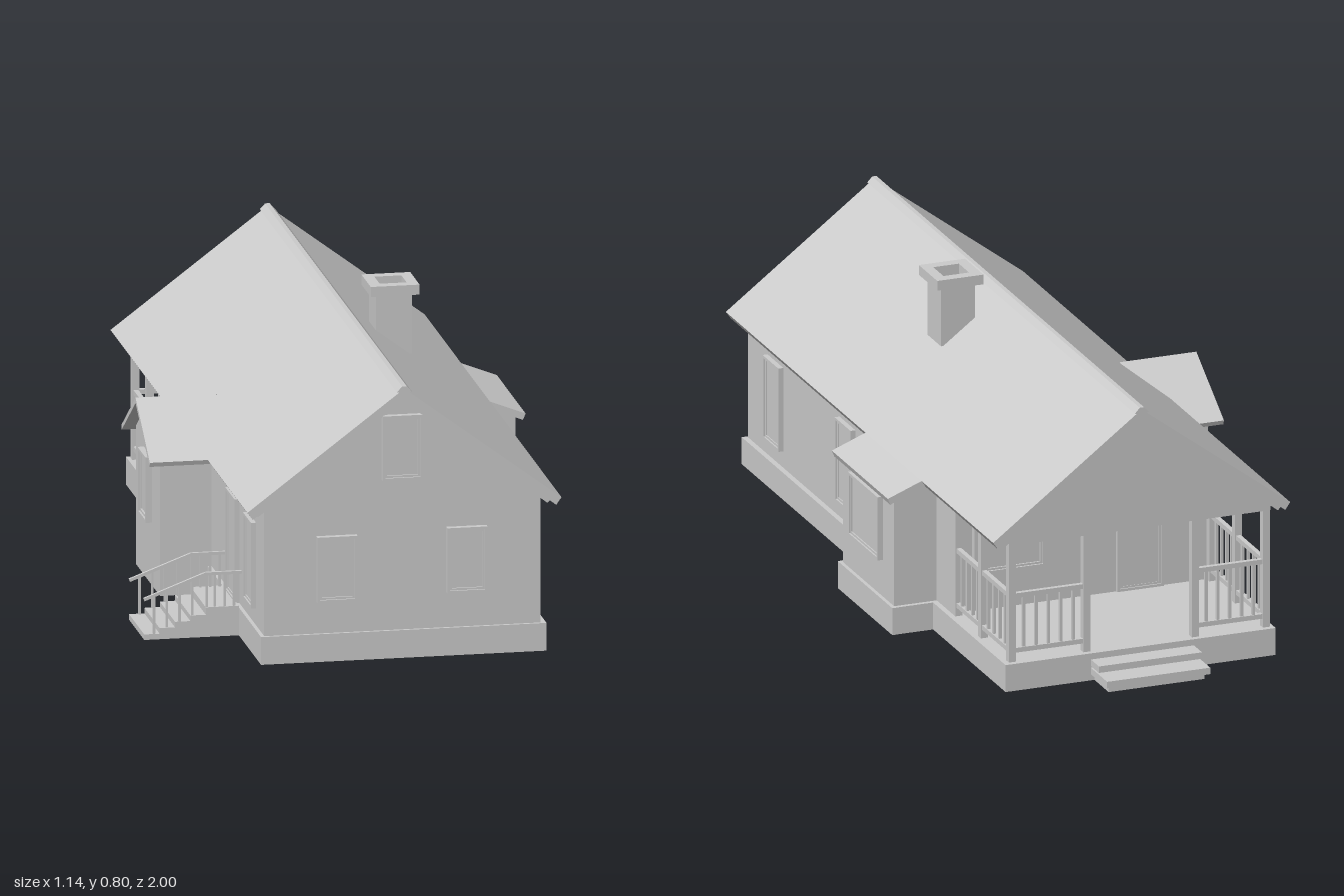
import * as THREE from 'three';

const mat = new THREE.MeshStandardMaterial({ color: 0xcccccc, flatShading: true, side: THREE.DoubleSide });
const CX = 0.057; // ridge line in x

export function createModel() {
  const house = new THREE.Group();
  house.name = 'house';

  const add = (name, geo, parent = house) => {
    const m = new THREE.Mesh(geo, mat);
    m.name = name;
    parent.add(m);
    return m;
  };
  const group = (name) => {
    const g = new THREE.Group();
    g.name = name;
    house.add(g);
    return g;
  };
  // box from its two opposite corners
  const box = (name, x0, x1, y0, y1, z0, z1, parent) => {
    const m = add(name, new THREE.BoxGeometry(Math.abs(x1 - x0), y1 - y0, Math.abs(z1 - z0)), parent);
    m.position.set((x0 + x1) / 2, (y0 + y1) / 2, (z0 + z1) / 2);
    return m;
  };
  const shape = (pts) => new THREE.Shape(pts.map((p) => new THREE.Vector2(p[0], p[1])));
  const extrude = (s, depth) => new THREE.ExtrudeGeometry(s, { depth, bevelEnabled: false });
  // profile in x,y pushed along z from z0 to z1
  const prismZ = (name, pts, z0, z1, parent) => {
    const m = add(name, extrude(shape(pts), z1 - z0), parent);
    m.position.z = z0;
    return m;
  };
  // profile in z,y pushed along x from x0 to x1
  const prismX = (name, pts, x0, x1, parent) => {
    const g = extrude(shape(pts.map(([z, y]) => [-z, y])), x1 - x0);
    g.rotateY(Math.PI / 2).translate(x0, 0, 0);
    return add(name, g, parent);
  };
  // straight square bar between two points
  const bar = (name, a, b, w, parent) => {
    const p = new THREE.Vector3(...a), q = new THREE.Vector3(...b);
    const m = add(name, new THREE.BoxGeometry(w, w, p.distanceTo(q)), parent);
    m.position.copy(p).add(q).multiplyScalar(0.5);
    m.lookAt(q);
    return m;
  };
  // rectangular ring in the x,y plane
  const ring = (w, h, t, depth) => {
    const rect = (a, b) => [[-a, -b], [a, -b], [a, b], [-a, b]];
    const s = shape(rect(w / 2, h / 2));
    s.holes.push(shape(rect(w / 2 - t, h / 2 - t)));
    return extrude(s, depth);
  };

  // Foundation: open skirt under the house, solid slab under the porch
  const base = group('foundation');
  box('frontFooting', -0.32, 0.44, 0, 0.075, 0.96, 0.975, base);
  box('leftFooting', 0.425, 0.44, 0, 0.075, -0.47, 0.96, base);
  box('rightFooting', -0.32, -0.305, 0, 0.075, -0.47, 0.96, base);
  box('porchFloor', -0.32, 0.44, 0, 0.075, -0.885, -0.47, base);

  // Main walls and gables
  const walls = group('walls');
  const gable = [[-0.31, 0.07], [0.425, 0.07], [0.425, 0.425], [CX, 0.71], [-0.31, 0.425]];
  prismZ('frontWall', gable, 0.955, 0.967, walls);
  prismZ('backWall', gable, -0.473, -0.461, walls);
  prismZ('porchGable', [[-0.31, 0.4], [0.425, 0.4], [0.425, 0.425], [CX, 0.71], [-0.31, 0.425]], -0.872, -0.855, walls);
  box('leftWallFront', 0.413, 0.425, 0.07, 0.43, 0, 0.955, walls);
  box('leftWallBack', 0.413, 0.425, 0.07, 0.43, -0.461, -0.36, walls);
  box('rightWallFront', -0.31, -0.298, 0.07, 0.43, 0.24, 0.955, walls);
  box('rightWallBack', -0.31, -0.298, 0.07, 0.43, -0.461, -0.09, walls);

  // Main roof and ridge cap
  prismZ('roof', [[CX - 0.418, 0.42], [CX, 0.735], [CX + 0.418, 0.42], [CX + 0.404, 0.4], [CX, 0.707], [CX - 0.404, 0.4]], -0.885, 1);
  prismZ('ridgeCap', [[CX - 0.02, 0.726], [CX - 0.006, 0.741], [CX + 0.006, 0.741], [CX + 0.02, 0.726], [CX, 0.72]], -0.887, 1);
  // Trim boards under the gable edges
  for (const s of [-1, 1]) for (const z of [0.967, -0.88]) {
    prismZ('gableTrim', [[CX, 0.71], [CX + s * 0.395, 0.409], [CX + s * 0.385, 0.4], [CX, 0.695]], z, z + 0.008);
  }

  // Chimney with hollow cap
  const chimney = group('chimney');
  const flue = (name, w, d, y0, y1) => {
    const s = shape([[-w, -d], [w, -d], [w, d], [-w, d]]);
    s.holes.push(shape([[-0.036, -0.036], [0.036, -0.036], [0.036, 0.036], [-0.036, 0.036]]));
    const m = add(name, extrude(s, y1 - y0).rotateX(-Math.PI / 2), chimney);
    m.position.set(0.188, y0, 0.13);
  };
  flue('chimneyStack', 0.048, 0.048, 0.605, 0.768);
  flue('chimneyCap', 0.065, 0.065, 0.768, 0.795);

  // Bay with a lean-to roof
  const bay = group('leftBay');
  box('bayFooting', 0.54, 0.555, 0, 0.075, -0.375, 0.01, bay);
  box('bayWall', 0.533, 0.545, 0.07, 0.385, -0.362, 0, bay);
  for (const [z, d] of [[0, 1], [-0.362, -1]]) {
    box('baySideFooting', 0.43, 0.541, 0, 0.075, z, z + d * 0.012, bay);
    prismZ('baySideWall', [[0.42, 0.07], [0.54, 0.07], [0.54, 0.375], [0.47, 0.405], [0.42, 0.42]], z - (d > 0 ? 0.012 : 0), z + (d > 0 ? 0 : 0.012), bay);
  }
  prismZ('bayRoof', [[0.43, 0.437], [0.475, 0.42], [0.57, 0.383], [0.563, 0.366], [0.465, 0.404], [0.43, 0.42]], -0.38, 0.015, bay);

  // Bay with a small gable roof
  const dormer = group('rightBay');
  prismX('bayWall', [[-0.09, 0], [0.24, 0], [0.24, 0.375], [0.075, 0.482], [-0.09, 0.375]], -0.447, -0.435, dormer);
  for (const z of [-0.09, 0.228]) box('baySideWall', -0.436, -0.3, 0, 0.385, z, z + 0.012, dormer);
  const gableRoof = prismX('bayRoof', [[-0.12, 0.37], [0.075, 0.495], [0.272, 0.37], [0.268, 0.358], [0.075, 0.48], [-0.116, 0.358]], -0.48, -0.265, dormer);
  // cut the inner end back along the main roof slope
  const pos = gableRoof.geometry.attributes.position;
  for (let i = 0; i < pos.count; i++) {
    if (pos.getX(i) > -0.3 && pos.getY(i) < 0.4) pos.setX(i, -0.32);
  }
  gableRoof.geometry.computeVertexNormals();

  // Windows and doors: raised frame with recessed panel
  const opening = (name, x, y, z, w, h, turn, depth = 0.017) => {
    const g = group(name);
    add('frame', ring(w, h, 0.007, depth), g);
    add('innerFrame', ring(w - 0.013, h - 0.013, 0.006, depth * 0.7), g);
    const pane = add('pane', new THREE.BoxGeometry(w - 0.02, h - 0.02, 0.006), g);
    pane.position.z = 0.004;
    g.position.set(x, y, z);
    g.rotation.y = turn * Math.PI / 2;
  };
  opening('frontWindow', -0.118, 0.25, 0.967, 0.107, 0.177, 0);
  opening('frontWindow', 0.228, 0.258, 0.967, 0.107, 0.177, 0);
  opening('atticWindow', 0.056, 0.57, 0.967, 0.107, 0.175, 0);
  for (const z of [0.775, 0.267]) opening('leftWindow', 0.425, 0.237, z, 0.112, 0.232, 1, 0.014);
  opening('leftBayWindow', 0.545, 0.265, -0.178, 0.21, 0.176, 1, 0.015);
  opening('rightBayWindow', -0.447, 0.258, 0.075, 0.11, 0.177, -1);
  for (const z of [0.8, -0.3]) opening('rightWindow', -0.31, 0.237, z, 0.112, 0.232, -1, 0.014);
  opening('sideDoor', -0.31, 0.217, 0.565, 0.13, 0.28, -1, 0.014);
  opening('porchWindow', 0.27, 0.273, -0.473, 0.2, 0.187, 2);
  opening('porchDoor', -0.1, 0.217, -0.473, 0.13, 0.28, 2, 0.012);

  // Porch posts, beams, ceiling and railings
  const porch = group('porch');
  const L = 0.415, R = -0.3, B = -0.86;
  for (const [x, z] of [[L, B], [0.205, B], [-0.1, B], [R, B], [L, -0.663], [R, -0.663], [L, -0.483], [R, -0.483]]) {
    box('porchPost', x - 0.01, x + 0.01, 0.075, 0.405, z - 0.01, z + 0.01, porch);
  }
  box('porchCeiling', -0.31, 0.425, 0.405, 0.415, -0.87, -0.47, porch);
  const railing = (x0, z0, x1, z1, n) => {
    for (const y of [0.105, 0.257]) bar('porchRail', [x0, y, z0], [x1, y, z1], 0.013, porch);
    for (let i = 1; i <= n; i++) {
      const t = i / (n + 1), x = x0 + (x1 - x0) * t, z = z0 + (z1 - z0) * t;
      box('baluster', x - 0.004, x + 0.004, 0.105, 0.257, z - 0.004, z + 0.004, porch);
    }
  };
  for (const x of [L, R]) {
    railing(x, -0.483, x, -0.663, 4);
    railing(x, -0.663, x, B, 4);
  }
  railing(L, B, 0.205, B, 5);
  railing(-0.1, B, R, B, 5);

  // Porch steps
  const porchSteps = group('porchSteps');
  for (const [y, z] of [[0.035, -1], [0.058, -0.942]]) {
    box('tread', -0.09, 0.2, y - 0.018, y, z, -0.885, porchSteps);
    box('riser', -0.08, 0.19, 0, y - 0.018, z + 0.015, -0.885, porchSteps);
  }

  // Side steps with a landing and sloping handrails
  const sideSteps = group('sideSteps');
  box('landing', -0.408, -0.32, 0, 0.08, 0.46, 0.67, sideSteps);
  for (let i = 0; i < 4; i++) {
    const x = -0.572 + i * 0.041;
    box('step', x, x + 0.042, 0, 0.015 * (i + 1), 0.46, 0.67, sideSteps);
  }
  for (const z of [0.465, 0.665]) {
    bar('handrail', [-0.572, 0.108, z], [-0.408, 0.17, z], 0.008, sideSteps);
    bar('landingRail', [-0.41, 0.17, z], [-0.312, 0.17, z], 0.008, sideSteps);
    for (let i = 0; i < 4; i++) {
      const x = -0.545 + i * 0.034;
      const foot = 0.015 * (Math.floor((x + 0.572) / 0.041) + 1);
      bar('stepBaluster', [x, foot, z], [x, 0.108 + (x + 0.572) * 0.378, z], 0.006, sideSteps);
    }
    for (const x of [-0.405, -0.383, -0.357, -0.332]) bar('landingBaluster', [x, 0.08, z], [x, 0.17, z], 0.006, sideSteps);
  }

  return house;
}
